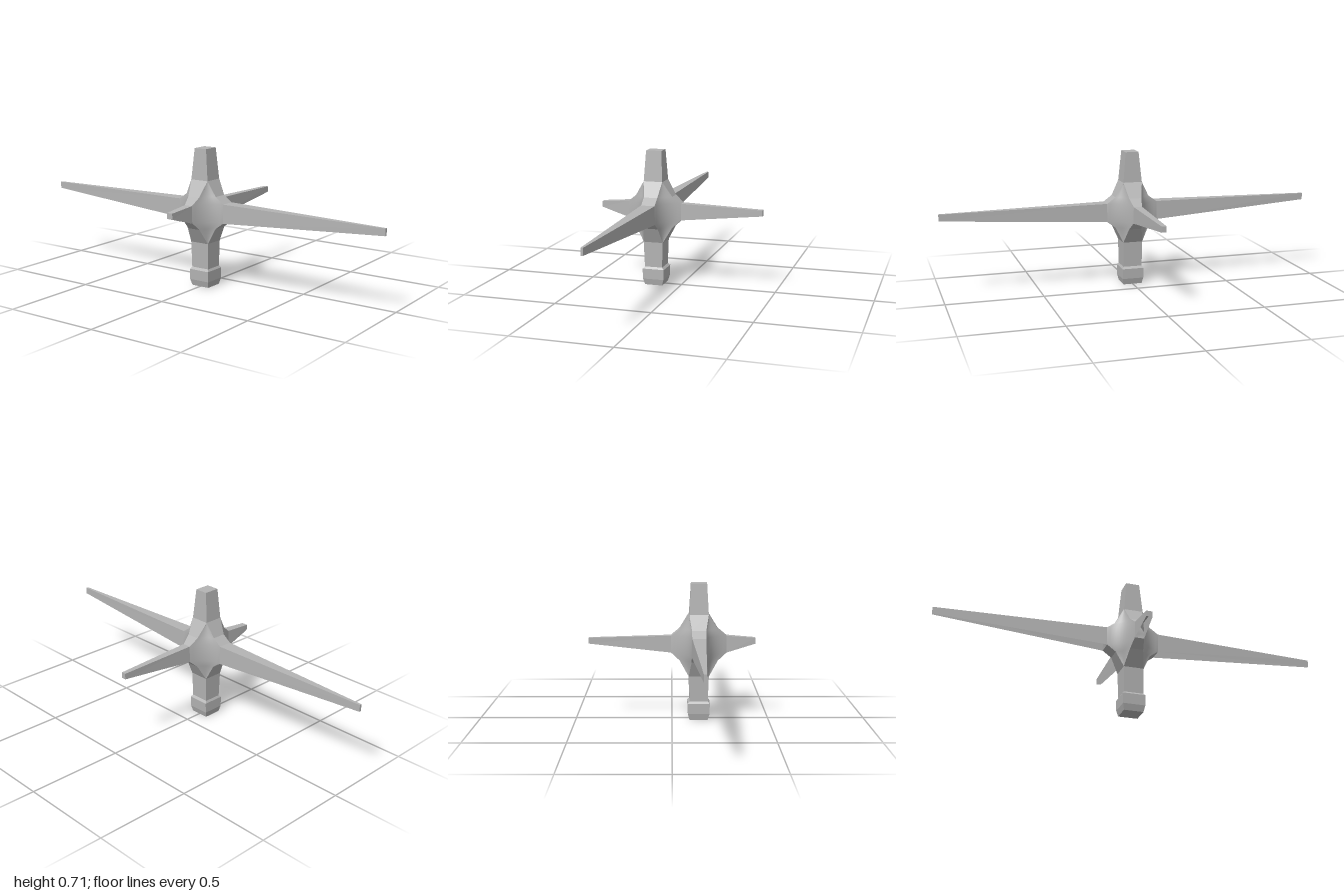
import * as THREE from 'three';

const grey = new THREE.MeshStandardMaterial({ color: 0xb4b4b4, side: THREE.DoubleSide });
grey.name = 'plain grey';

// Sheet through rows of points, listed top to bottom and left to right as seen from outside
function sheet(name, rows, smooth = false) {
  const cols = rows[0].length, index = [];
  for (let r = 0; r < rows.length - 1; r++) {
    for (let c = 0; c < cols - 1; c++) {
      const a = r * cols + c, b = a + cols;
      index.push(a, b, a + 1, a + 1, b, b + 1);
    }
  }
  let geo = new THREE.BufferGeometry();
  geo.setAttribute('position', new THREE.Float32BufferAttribute(rows.flat(2), 3));
  geo.setIndex(index);
  if (!smooth) geo = geo.toNonIndexed();
  geo.computeVertexNormals();
  const mesh = new THREE.Mesh(geo, grey);
  mesh.name = name;
  return mesh;
}

// Square post from rings [y, half x, half z], top to bottom, with chosen end caps
function post(name, rings, capTop, capBottom) {
  const g = new THREE.Group();
  g.name = name;
  const corners = [[-1, 1], [1, 1], [1, -1], [-1, -1], [-1, 1]];
  for (let i = 0; i < 4; i++) {
    g.add(sheet(name + 'Side', rings.map(([y, hx, hz]) =>
      [corners[i], corners[i + 1]].map(([sx, sz]) => [sx * hx, y, sz * hz]))));
  }
  const cap = ([y, x, z], s) => sheet(name + 'Cap',
    [[[-x, y, -z * s], [x, y, -z * s]], [[-x, y, z * s], [x, y, z * s]]]);
  if (capTop) g.add(cap(rings[0], 1));
  if (capBottom) g.add(cap(rings[rings.length - 1], -1));
  return g;
}

// Edge chains of the hub along a spoke: [half width, y, distance from axis]
const zChain = [[0.05, 0.55, 0.05], [0.036, 0.473, 0.09], [0.036, 0.44, 0.135],
  [0.038, 0.343, 0.135], [0.038, 0.31, 0.09], [0.052, 0.23, 0.052]];
const xChain = [[0.05, 0.55, 0.05], [0.033, 0.473, 0.098], [0.022, 0.437, 0.143],
  [0.024, 0.35, 0.143], [0.034, 0.31, 0.098], [0.052, 0.23, 0.052]];

// Tapering spoke pointing to +z, open underneath, with bevels joining it to the post
function spoke(name, chain, tipHalf, tipTop, tipBottom, length, angle) {
  const g = new THREE.Group();
  g.name = name;
  const pair = ([w, y, d]) => [[-w, y, d], [w, y, d]];
  const [top, bottom] = [chain[2], chain[3]];
  const tipA = [tipHalf, tipTop, length], tipB = [tipHalf, tipBottom, length];
  const flip = ([x, y, z]) => [-x, y, z];
  g.add(
    sheet('upperBevel', chain.slice(0, 3).map(pair)),
    sheet('lowerBevel', chain.slice(3).map(pair)),
    sheet('spokeTop', [pair(top), pair(tipA)]),
    sheet('spokeTip', [pair(tipA), pair(tipB)]),
    sheet('spokeLeftSide', [[tipA, top], [tipB, bottom]]),
    sheet('spokeRightSide', [[flip(top), flip(tipA)], [flip(bottom), flip(tipB)]])
  );
  g.rotation.y = angle;
  return g;
}

// Concave web between two neighbouring spokes, bowed towards the axis
function web(sx, sz) {
  const n = 10;
  const rows = zChain.map(([zw, zy, zd], r) => {
    const [xw, xy, xd] = xChain[r], row = [];
    for (let i = 0; i <= n; i++) {
      const t = i / n, a = (1 - t) ** 2, b = 2 * t * (1 - t), c = t * t;
      row.push([sx * (a * zw + b * 0.051 + c * xd), zy + (xy - zy) * t,
        sz * (a * zd + b * 0.051 + c * xw)]);
    }
    return sx * sz < 0 ? row.reverse() : row;
  });
  return sheet('hubWeb', rows, true);
}

export function createModel() {
  const model = new THREE.Group();
  model.name = 'sixArmedJoint';
  const body = new THREE.Group();
  body.name = 'body';
  body.position.x = -0.138;

  // Upright posts and the foot collar
  body.add(post('upperPost', [[0.708, 0.041, 0.035], [0.55, 0.05, 0.05]], true, false));
  body.add(post('lowerPost', [[0.23, 0.052, 0.052], [0.097, 0.047, 0.05]], false, false));
  body.add(post('footCollar', [[0.097, 0.047, 0.05], [0.086, 0.058, 0.057],
    [0.032, 0.056, 0.057], [0, 0.047, 0.05]], false, true));

  // Long front and back spokes, shorter side spokes
  const q = Math.PI / 2;
  body.add(spoke('frontSpoke', zChain, 0.006, 0.43, 0.395, 1, 0));
  body.add(spoke('backSpoke', zChain, 0.006, 0.43, 0.395, 1, 2 * q));
  body.add(spoke('leftSpoke', xChain, 0.012, 0.425, 0.395, 0.568, q));
  body.add(spoke('rightSpoke', xChain, 0.016, 0.425, 0.395, 0.292, -q));

  // Four hub webs
  for (const sx of [-1, 1]) for (const sz of [-1, 1]) body.add(web(sx, sz));

  model.add(body);
  return model;
}
